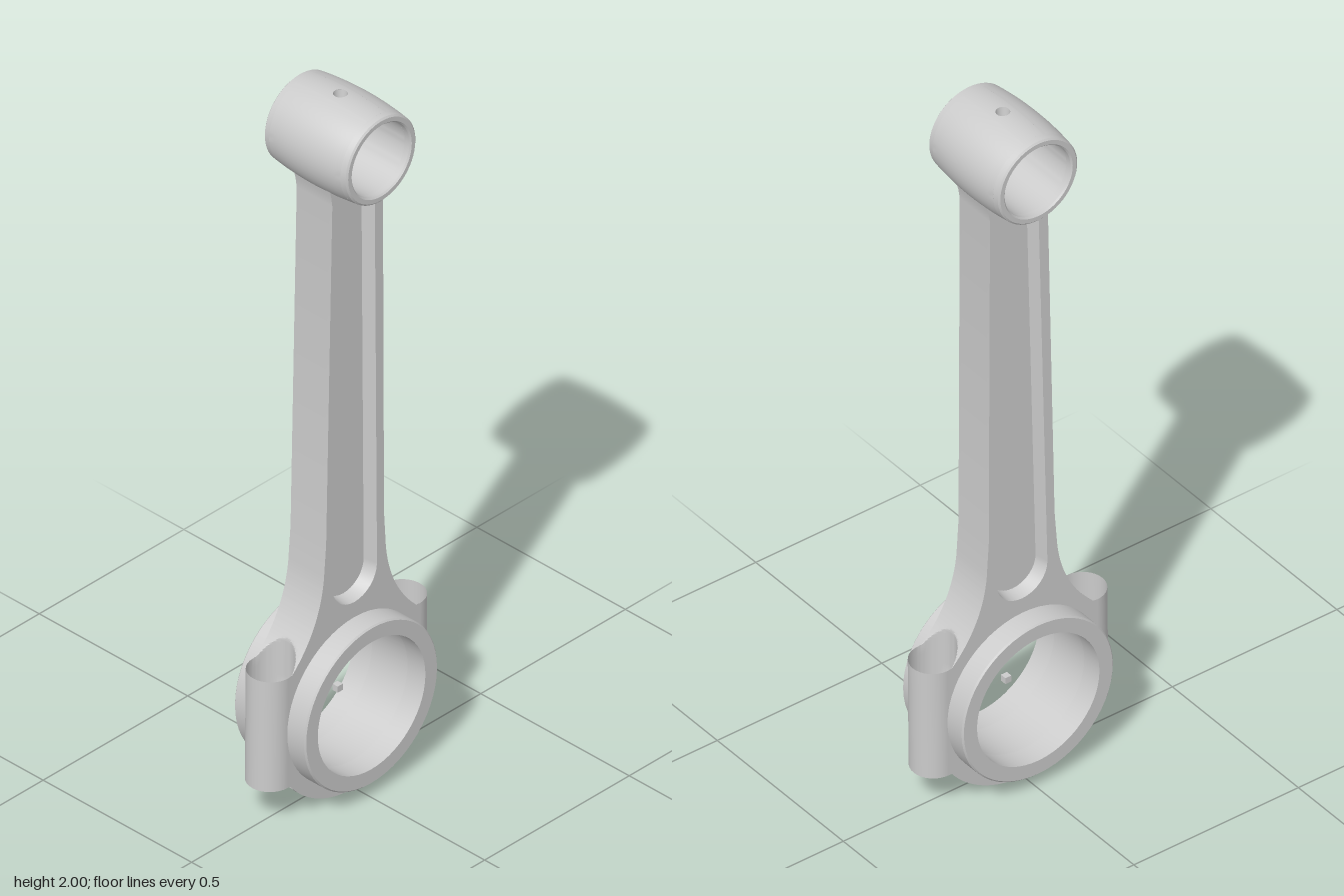
import * as THREE from 'three';
import { toCreasedNormals } from 'three/addons/utils/BufferGeometryUtils.js';
import { ParametricGeometry } from 'three/addons/geometries/ParametricGeometry.js';

const BIG_Y = 0.27, SMALL_Y = 1.87, HALF = 0.06, BORE = 0.186, BOSS_X = 0.228;
const V = (x, y) => new THREE.Vector2(x, y);
const solid = new THREE.MeshStandardMaterial({ color: 0xcccccc });
const thin = new THREE.MeshStandardMaterial({ color: 0xcccccc, side: THREE.DoubleSide });

function add(parent, name, geometry, material = solid, y = 0) {
  const mesh = new THREE.Mesh(geometry, material);
  mesh.name = name;
  mesh.position.y = y;
  parent.add(mesh);
  return mesh;
}

// Mesh on one side plus its copy turned half round the rod axis
function addPair(parent, name, geometry, material, y) {
  add(parent, name, geometry, material, y);
  add(parent, name, geometry, material, y).rotation.y = Math.PI;
}

// Lathe about the z axis from [radius, z] pairs
function ring(points, start = 0, length = Math.PI * 2) {
  const g = new THREE.LatheGeometry(points.map(p => V(...p)), 56, start, length);
  return toCreasedNormals(g.rotateX(Math.PI / 2), 0.5);
}

// Right-hand edge of the rod, from the bottom of the cap to the small end
function rodEdge() {
  const pts = [];
  const end = Math.acos(0.16 / 0.27);
  for (let i = 0; i <= 40; i++) {
    const t = end * i / 40;
    pts.push(V(0.27 * Math.sin(t), BIG_Y - 0.27 * Math.cos(t)));
  }
  for (let i = 0; i <= 12; i++) pts.push(V(BOSS_X, 0.111 + 0.32 * i / 12));
  const flare = new THREE.QuadraticBezierCurve(V(0.214, 0.433), V(0.12, 0.525), V(0.107, 0.66));
  pts.push(...flare.getPoints(60));
  pts.push(V(0.1, 0.76), V(0.0875, 1.74), V(0.092, 1.77), V(0.1, 1.8));
  return pts;
}

// Tapered slot with round ends
function slot(inset) {
  const pts = [];
  const arc = (y, r, from) => {
    for (let i = 0; i <= 16; i++) {
      const a = from + Math.PI * i / 16;
      pts.push(V((r - inset) * Math.cos(a), y + (r - inset) * Math.sin(a)));
    }
  };
  arc(1.685, 0.06, 0);
  arc(0.621, 0.077, Math.PI);
  return pts;
}

// Sloping wall between the slot rim and its floor
function slotWall(depth, inset) {
  const a = slot(0), b = slot(inset), n = a.length, pos = [], index = [];
  for (let i = 0; i <= n; i++) {
    const p = a[i % n], q = b[i % n];
    pos.push(p.x, p.y, HALF, q.x, q.y, HALF - depth);
    if (i < n) index.push(2 * i, 2 * i + 2, 2 * i + 1, 2 * i + 1, 2 * i + 2, 2 * i + 3);
  }
  const g = new THREE.BufferGeometry();
  g.setAttribute('position', new THREE.Float32BufferAttribute(pos, 3));
  g.setIndex(index);
  g.computeVertexNormals();
  return g;
}

// Edge wall of the rod, scooped out where the bolt bores pass through
function edgeWall(edge) {
  const cols = 32, rows = edge.length - 1;
  const g = new THREE.PlaneGeometry(2 * HALF, 1, cols, rows);
  const pos = g.attributes.position;
  for (let i = 0; i < pos.count; i++) {
    const p = edge[rows - Math.floor(i / (cols + 1))];
    const angle = Math.PI * ((i % (cols + 1)) / cols - 0.5);
    const scoop = BOSS_X - HALF * Math.cos(angle);
    const dy = p.y - BIG_Y;
    const bore = Math.sqrt(Math.max(0, BORE * BORE - dy * dy)) + 0.001;
    pos.setXYZ(i, Math.min(p.x, Math.max(scoop, bore)), p.y, -HALF * Math.sin(angle));
  }
  return toCreasedNormals(g, 0.5);
}

function buildRod(rod) {
  const edge = rodEdge();
  const top = [];
  for (let i = 0; i <= 20; i++) {
    const a = -0.62 - (Math.PI - 1.24) * i / 20;
    top.push(V(0.114 * Math.cos(a), SMALL_Y + 0.114 * Math.sin(a)));
  }
  const left = edge.slice(1).reverse().map(p => V(-p.x, p.y));
  const face = new THREE.Shape([...edge, ...top, ...left]);
  face.holes.push(new THREE.Path().absarc(0, BIG_Y, 0.2, 0, Math.PI * 2, true));
  face.holes.push(new THREE.Path(slot(0)));
  addPair(rod, 'rodFace', new THREE.ShapeGeometry(face, 32).translate(0, 0, HALF));
  addPair(rod, 'rodEdge', edgeWall(edge), thin);

  // Long recess on both faces
  const depth = 0.038, inset = 0.007;
  addPair(rod, 'recessWall', slotWall(depth, inset), thin);
  const floor = new THREE.ShapeGeometry(new THREE.Shape(slot(inset)));
  addPair(rod, 'recessFloor', floor.translate(0, 0, HALF - depth));
}

function buildBigEnd(rod) {
  const flange = ring([[BORE, HALF], [0.23, HALF], [0.23, 0.116], [0.226, 0.12], [BORE, 0.12], [BORE, HALF]]);
  addPair(rod, 'bigEndFlange', flange, solid, BIG_Y);
  add(rod, 'bigEndBore', ring([[BORE, HALF], [BORE, -HALF]]), solid, BIG_Y);

  // Outer halves of the open bolt bosses
  const boss = new THREE.CylinderGeometry(HALF, HALF, 0.32, 16, 1, true, 0, Math.PI);
  addPair(rod, 'boltBoss', boss.translate(BOSS_X, 0, 0), thin, 0.271);
}

function buildSmallEnd(rod) {
  const inner = 0.1, shellZ = 0.12, gap = 0.25, holeR = 0.018;
  const barrel = z => 0.13 - 0.01 * (z / 0.14) ** 2;

  // Rims at both ends of the barrel
  const rim = ring([[barrel(shellZ), shellZ], [barrel(0.136), 0.136], [0.116, 0.14], [0.104, 0.14], [inner, 0.136], [inner, shellZ]]);
  addPair(rod, 'smallEndRim', rim, thin, SMALL_Y);

  // Barrel and bore, leaving a gap at the top for the oil hole
  const profile = [];
  for (let i = 0; i <= 12; i++) {
    const z = shellZ * (i / 6 - 1);
    profile.push([barrel(z), z]);
  }
  const start = Math.PI + gap, length = Math.PI * 2 - 2 * gap;
  add(rod, 'smallEndBarrel', ring(profile, start, length), thin, SMALL_Y);
  add(rod, 'smallEndBore', ring([[inner, shellZ], [inner, -shellZ]], start, length), thin, SMALL_Y);

  // Patch spreading from the round hole to the edges of the gap
  const patch = radius => new ParametricGeometry((u, v, target) => {
    const c = Math.cos(u * Math.PI * 2), s = Math.sin(u * Math.PI * 2);
    const m = Math.max(Math.abs(c), Math.abs(s));
    const a = THREE.MathUtils.lerp(holeR * c / 0.13, gap * c / m, v);
    const z = THREE.MathUtils.lerp(holeR * s, shellZ * s / m, v);
    target.set(radius(z) * Math.sin(a), radius(z) * Math.cos(a), z);
  }, 48, 8);
  add(rod, 'oilHoleOuterPatch', patch(barrel), thin, SMALL_Y);
  add(rod, 'oilHoleInnerPatch', patch(() => inner), thin, SMALL_Y);
  const bore = new THREE.CylinderGeometry(holeR, holeR * 0.8, 0.029, 24, 1, true);
  add(rod, 'oilHoleWall', bore, thin, SMALL_Y + 0.1145);
}

export function createModel() {
  const model = new THREE.Group();
  model.name = 'connectingRod';
  const rod = new THREE.Group();
  rod.name = 'rod';
  buildRod(rod);
  buildBigEnd(rod);
  buildSmallEnd(rod);

  // The rod leans very slightly to one side
  rod.rotation.z = -0.009;
  rod.position.x = -0.003;
  model.add(rod);

  // Small cubes marking the bore centres
  for (const y of [0.265, 1.867]) {
    add(model, 'boreCentreMarker', new THREE.BoxGeometry(0.018, 0.018, 0.018), solid, y).position.x = 0.005;
  }
  return model;
}
